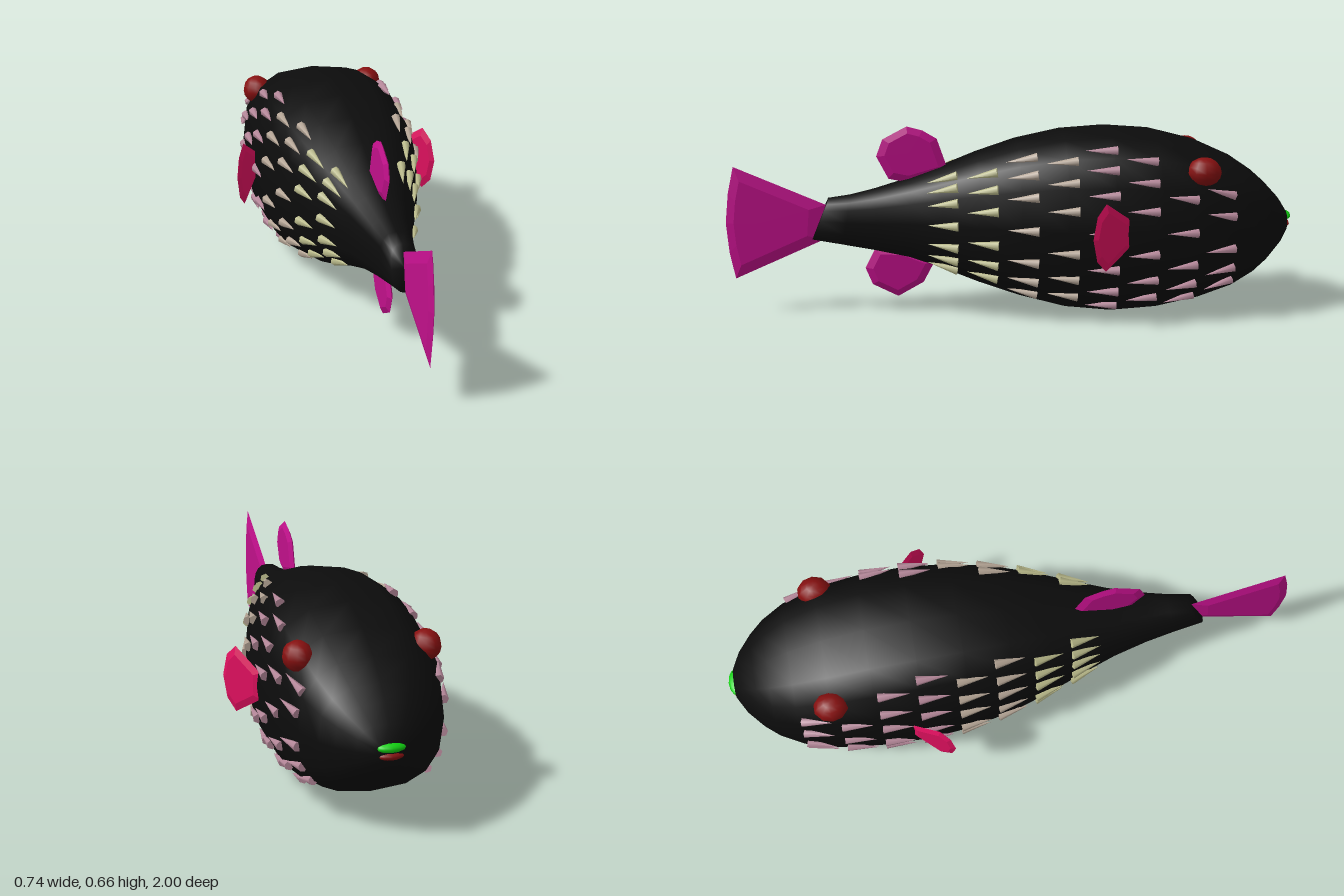
import * as THREE from 'three';

const mat = (name, color) => {
  const m = new THREE.MeshStandardMaterial({ color });
  m.name = name;
  return m;
};

// Body sections: z, half width, top y, bottom y, slant of the ring in z
const SECTIONS = [
  [-0.988, 0, 0.31, 0.3, 0], [-0.98, 0.05, 0.342, 0.268, 0], [-0.95, 0.105, 0.39, 0.225, 0],
  [-0.9, 0.16, 0.445, 0.17, 0], [-0.85, 0.2, 0.49, 0.13, 0], [-0.77, 0.24, 0.545, 0.085, 0],
  [-0.65, 0.27, 0.6, 0.045, 0], [-0.5, 0.283, 0.64, 0.013, 0], [-0.34, 0.285, 0.653, 0.002, 0],
  [-0.18, 0.272, 0.643, 0.018, 0], [-0.02, 0.24, 0.61, 0.06, 0], [0.12, 0.197, 0.565, 0.108, 0],
  [0.25, 0.15, 0.515, 0.16, 0], [0.36, 0.112, 0.475, 0.197, 0], [0.48, 0.08, 0.44, 0.222, 0],
  [0.58, 0.06, 0.42, 0.243, 0.015], [0.67, 0.046, 0.41, 0.262, 0.03],
];
const SIDES = 16;
const soft = (v) => Math.sign(v) * Math.abs(v) ** 0.76;

// Point on a section; angle 0 is the top, 90 degrees is +x
function ringPoint([z, w, top, bottom, slant], angle) {
  const c = soft(Math.cos(angle));
  return new THREE.Vector3(w * soft(Math.sin(angle)),
    (top + bottom) / 2 + c * (top - bottom) / 2, z - slant * c);
}

// Point on the body surface at any z
function surface(z, angle) {
  const i = Math.max(0, SECTIONS.findIndex((s) => s[0] > z) - 1);
  const a = SECTIONS[i], b = SECTIONS[i + 1];
  const t = (z - a[0]) / (b[0] - a[0]);
  return ringPoint(a.map((v, k) => v + (b[k] - v) * t), angle);
}

function bodyGeometry() {
  const pos = [], index = [];
  SECTIONS.forEach((s, i) => {
    for (let j = 0; j < SIDES; j++) {
      pos.push(...ringPoint(s, (j / SIDES) * Math.PI * 2).toArray());
      if (i === SECTIONS.length - 1) continue;
      const a = i * SIDES + j, b = i * SIDES + (j + 1) % SIDES;
      index.push(a, a + SIDES, b, b, a + SIDES, b + SIDES);
    }
  });
  // Cap of the tail stump
  const last = (SECTIONS.length - 1) * SIDES, centre = pos.length / 3;
  pos.push(0, 0.336, 0.67);
  for (let j = 0; j < SIDES; j++) index.push(last + j, centre, last + (j + 1) % SIDES);
  const g = new THREE.BufferGeometry();
  g.setAttribute('position', new THREE.Float32BufferAttribute(pos, 3));
  g.setIndex(index);
  g.computeVertexNormals();
  return g;
}

// Fin blade: sharp rim, bevel, and a thicker flat middle
function finGeometry(outline, thick) {
  const pts = outline.map(([x, y]) => new THREE.Vector2(x, y));
  if (THREE.ShapeUtils.isClockWise(pts)) pts.reverse();
  const mid = new THREE.Vector2();
  pts.forEach((p) => mid.addScaledVector(p, 1 / pts.length));
  const pos = [];
  for (const s of [1, -1]) {
    const tri = (...corners) => {
      if (s < 0) corners.reverse();
      corners.forEach(([p, z]) => pos.push(p.x, p.y, z * s));
    };
    pts.forEach((p, i) => {
      const q = pts[(i + 1) % pts.length];
      const a = [p, 0], b = [q, 0];
      const c = [q.clone().lerp(mid, 0.25), thick], d = [p.clone().lerp(mid, 0.25), thick];
      tri(a, b, c);
      tri(a, c, d);
      tri(d, c, [mid, thick]);
    });
  }
  const g = new THREE.BufferGeometry();
  g.setAttribute('position', new THREE.Float32BufferAttribute(pos, 3));
  g.computeVertexNormals();
  return g;
}

export function createModel() {
  const model = new THREE.Group();
  model.name = 'fish';
  const black = mat('body black', 0x0c0c0c);
  const magenta = mat('fin magenta', 0xc0108a);
  const ruby = mat('side fin ruby', 0xe0105f);
  const darkRed = mat('dark red', 0x861010);
  const green = mat('lip green', 0x10d010);
  const scaleMats = [mat('scale pink', 0xb88a9c), mat('scale tan', 0xb8a898), mat('scale khaki', 0xbcbc8c)];

  const add = (name, geometry, material, parent = model) => {
    const m = new THREE.Mesh(geometry, material);
    m.name = name;
    parent.add(m);
    return m;
  };

  add('body', bodyGeometry(), black);

  // Fins on the centre line, drawn as (z, y)
  const midFins = {
    tailFin: [[0.65, 0.385], [0.66, 0.26], [0.97, 0.125], [0.99, 0.22], [1, 0.325], [0.99, 0.43], [0.97, 0.525]],
    dorsalFin: [[0.22, 0.5], [0.26, 0.615], [0.31, 0.645], [0.365, 0.66], [0.45, 0.615], [0.472, 0.555],
      [0.43, 0.475], [0.36, 0.46]],
    analFin: [[0.27, 0.175], [0.31, 0.1], [0.4, 0.05], [0.49, 0.095], [0.515, 0.155], [0.48, 0.225], [0.38, 0.22]],
  };
  for (const [name, outline] of Object.entries(midFins)) {
    add(name, finGeometry(outline, 0.01), magenta).rotation.y = -Math.PI / 2;
  }

  // Side fins, swept back
  const sideOutline = [[-0.01, 0.28], [0.1, 0.21], [0.14, 0.25], [0.158, 0.328], [0.14, 0.405], [0.1, 0.445], [-0.01, 0.375]];
  for (const s of [1, -1]) {
    const side = s > 0 ? 'left' : 'right';
    const fin = add(side + 'SideFin', finGeometry(sideOutline, 0.008), ruby);
    fin.position.set(0.28 * s, 0, -0.38);
    fin.rotation.y = s > 0 ? -0.965 : Math.PI + 0.965;

    const eye = add(side + 'Eye', new THREE.SphereGeometry(0.06, 10, 8), darkRed);
    eye.scale.set(0.85, 0.85, 1);
    eye.position.set(0.213 * s, 0.525, -0.65);
  }

  // Lips
  const upper = add('upperLip', new THREE.SphereGeometry(1, 12, 8), green);
  upper.scale.set(0.05, 0.017, 0.028);
  upper.position.set(0, 0.323, -0.972);
  const lower = add('lowerLip', new THREE.SphereGeometry(1, 12, 8), darkRed);
  lower.scale.set(0.045, 0.015, 0.025);
  lower.position.set(0, 0.295, -0.971);

  // Spiky scales in staggered columns, tips toward the tail
  const scales = new THREE.Group();
  scales.name = 'scales';
  model.add(scales);
  const LENGTH = 0.11, up = new THREE.Vector3(0, 1, 0);
  const spike = new THREE.ConeGeometry(0.017, LENGTH, 6);
  for (let col = 0; col < 8; col++) {
    const z = -0.76 + col * 0.136;
    const rows = col % 2 ? 7 : 6;
    const material = scaleMats[col < 4 ? 0 : col < 6 ? 1 : 2];
    for (let r = 0; r < rows; r++) {
      const angle = THREE.MathUtils.degToRad(90 + (r - (rows - 1) / 2) * 17.5);
      const base = surface(z, angle), tip = surface(z + LENGTH, angle);
      if (col < 2 && base.y > 0.46) continue; // room for the eyes
      tip.x += 0.008 * Math.sin(angle);
      tip.y += 0.008 * Math.cos(angle);
      for (const s of [1, -1]) {
        const m = add('scale', spike, material, scales);
        m.position.copy(base).add(tip).multiplyScalar(0.5);
        const dir = tip.clone().sub(base).normalize();
        m.position.x *= s;
        dir.x *= s;
        m.quaternion.setFromUnitVectors(up, dir);
      }
    }
  }
  return model;
}
